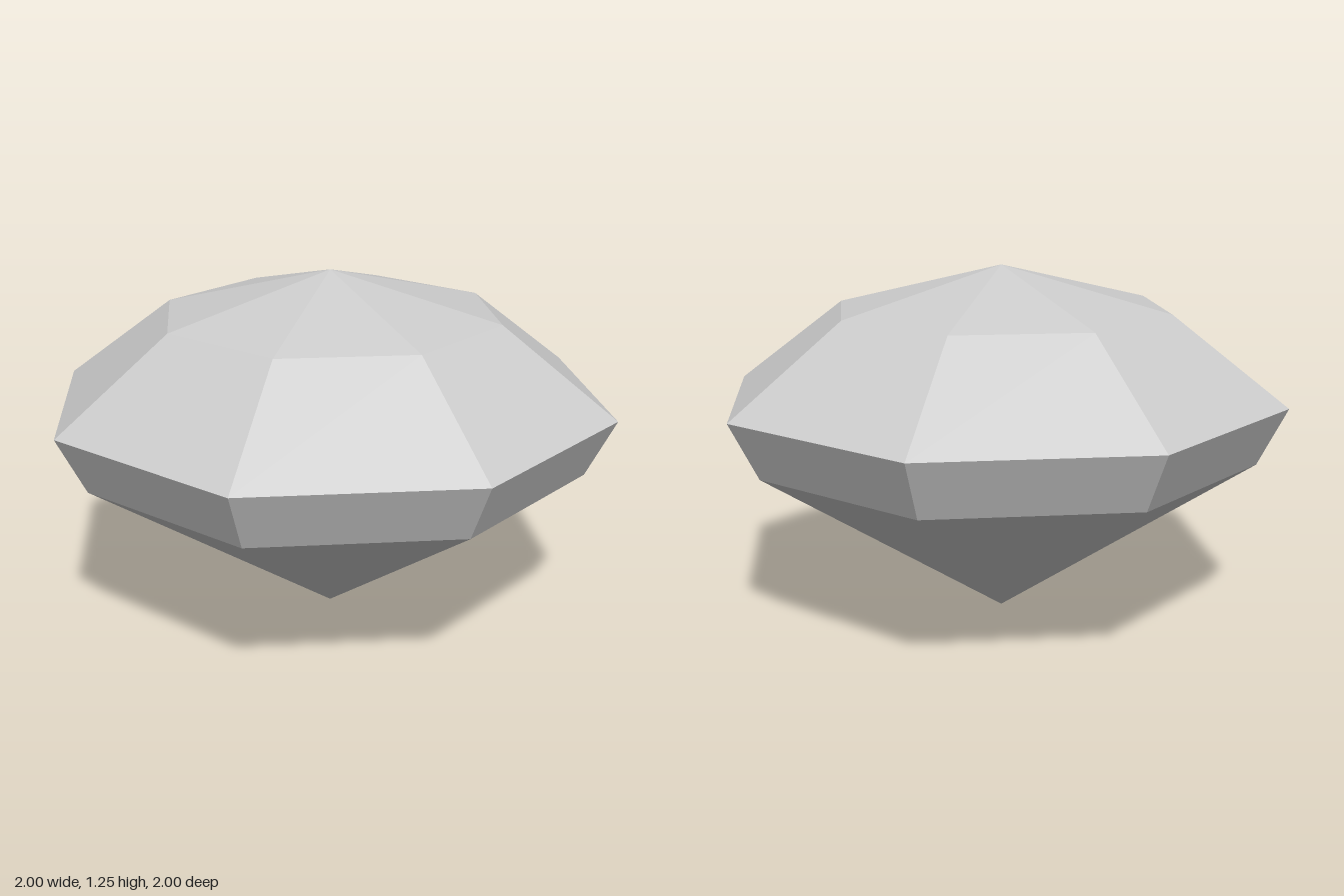
import * as THREE from 'three';

const SIDES = 8;

export function createModel() {
  const gem = new THREE.Group();
  gem.name = 'cutGem';
  const grey = new THREE.MeshStandardMaterial({ color: 0xcccccc });
  grey.name = 'stoneGrey';

  // One faceted band between two radii; corners lie on the x and z axes
  const band = (name, rTop, rBottom, yBottom, yTop) => {
    const geometry = new THREE.CylinderGeometry(
      rTop, rBottom, yTop - yBottom, SIDES, 1, true).toNonIndexed();
    geometry.computeVertexNormals(); // one flat normal per facet
    const mesh = new THREE.Mesh(geometry, grey);
    mesh.name = name;
    mesh.position.y = (yBottom + yTop) / 2;
    gem.add(mesh);
  };

  band('pavilion', 0.9, 0, 0, 0.6);   // pointed underside
  band('girdle', 1, 0.9, 0.6, 0.8);   // narrow belt
  band('crown', 0.6, 1, 0.8, 1.1);    // sloping upper facets
  band('table', 0, 0.6, 1.1, 1.25);   // shallow top point

  return gem;
}
